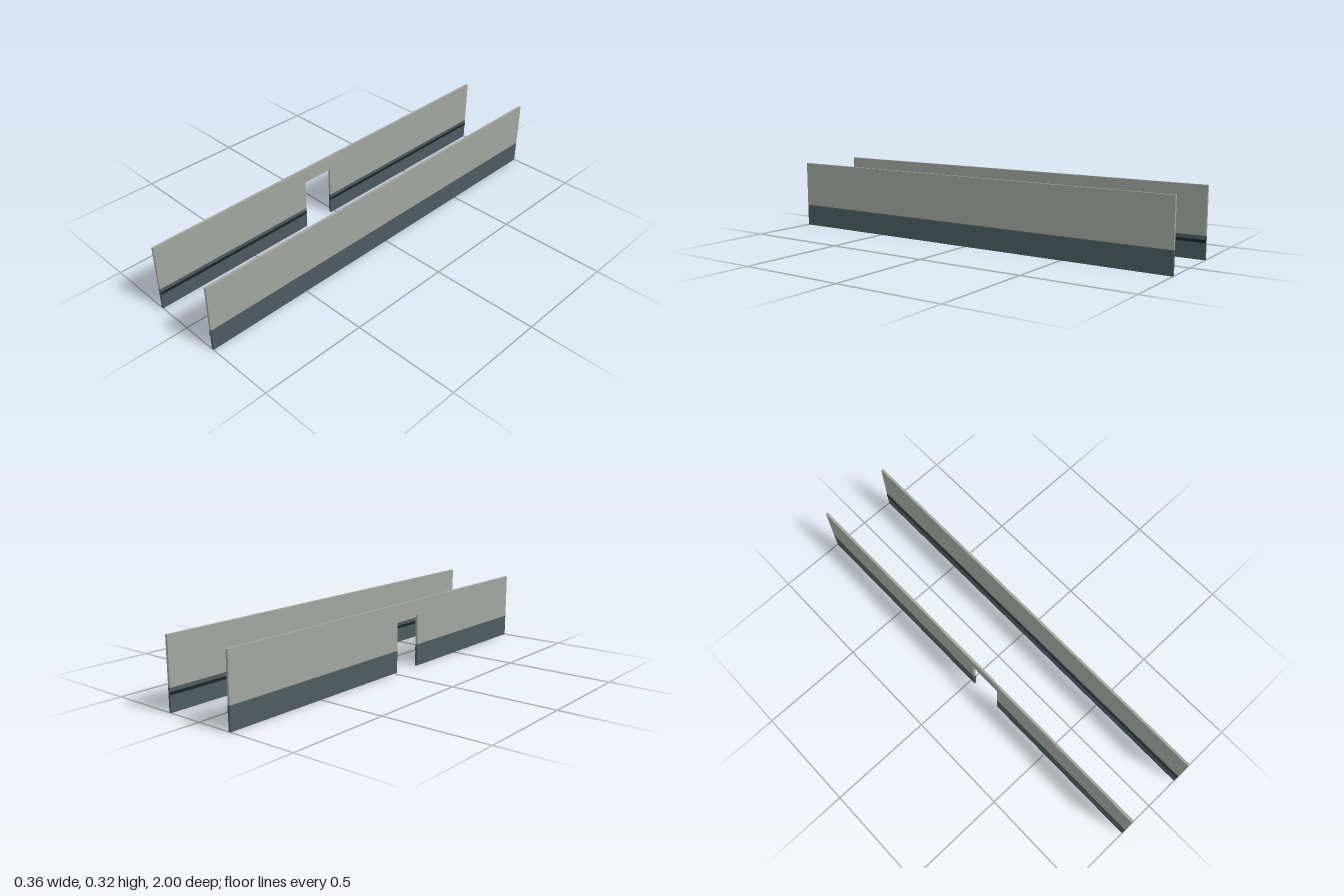
import * as THREE from 'three';

const OUTER = 0.179, INNER = 0.168, THICK = OUTER - INNER;
const HEIGHT = 0.32, BASE_H = 0.104;
const DOOR = { z0: 0.024, z1: 0.18, top: 0.248 };

const paint = new THREE.MeshStandardMaterial({ color: 0xa2a69f });
paint.name = 'pale grey paint';
const slate = new THREE.MeshStandardMaterial({ color: 0x4e5b61 });
slate.name = 'slate base';
const black = new THREE.MeshStandardMaterial({ color: 0x1c2427 });
black.name = 'dark rail';

// Box given by its ranges in x, y and z
function box(name, material, [x0, x1], [y0, y1], [z0, z1]) {
  const mesh = new THREE.Mesh(new THREE.BoxGeometry(Math.abs(x1 - x0), y1 - y0, z1 - z0), material);
  mesh.position.set((x0 + x1) / 2, (y0 + y1) / 2, (z0 + z1) / 2);
  mesh.name = name;
  return mesh;
}

// Upper panel outline drawn in (z, y), with an optional doorway notch
function upperPanel(side, hasDoor) {
  const pts = [[-1, BASE_H]];
  if (hasDoor) pts.push([DOOR.z0, BASE_H], [DOOR.z0, DOOR.top], [DOOR.z1, DOOR.top], [DOOR.z1, BASE_H]);
  pts.push([1, BASE_H], [1, HEIGHT], [-1, HEIGHT]);
  const shape = new THREE.Shape(pts.map(([z, y]) => new THREE.Vector2(z, y)));
  const geo = new THREE.ExtrudeGeometry(shape, { depth: THICK, bevelEnabled: false });
  geo.rotateY(-Math.PI / 2);
  geo.translate(side > 0 ? OUTER : -INNER, 0, 0);
  const mesh = new THREE.Mesh(geo, paint);
  mesh.name = 'upperPanel';
  return mesh;
}

function wall(side, hasDoor) {
  const group = new THREE.Group();
  group.name = side > 0 ? 'leftWall' : 'rightWall';
  group.add(upperPanel(side, hasDoor));
  // Base band and inner rail, interrupted by the doorway
  const spans = hasDoor ? [[-1, DOOR.z0], [DOOR.z1, 1]] : [[-1, 1]];
  for (const span of spans) {
    group.add(box('basePanel', slate, [side * INNER, side * OUTER], [0, BASE_H], span));
    group.add(box('innerRail', black, [side * 0.1655, side * (INNER + 0.001)], [0.074, 0.087], span));
  }
  return group;
}

export function createModel() {
  const model = new THREE.Group();
  model.name = 'corridorWalls';
  model.add(wall(1, false), wall(-1, true));
  return model;
}
